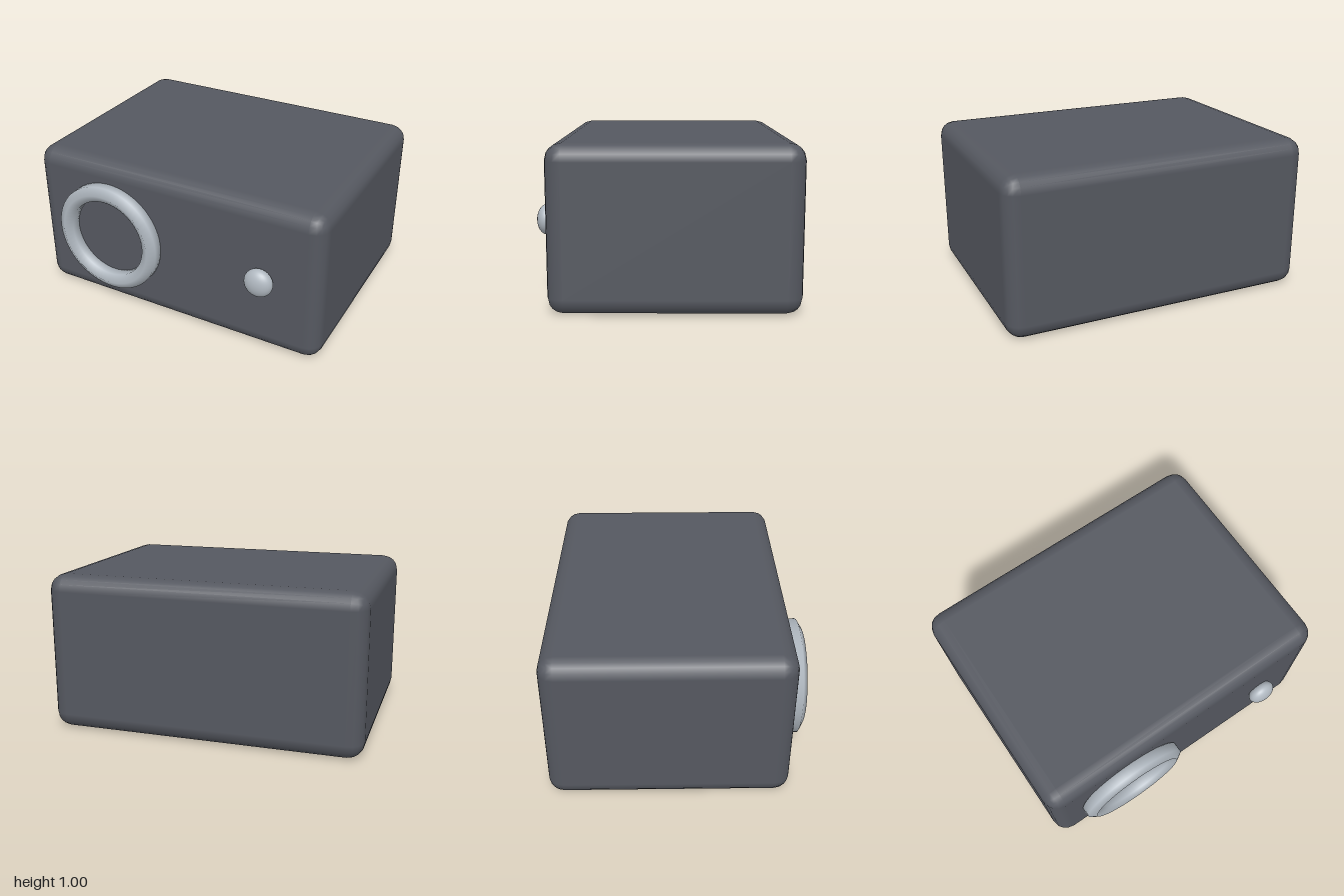
import * as THREE from 'three';
import { RoundedBoxGeometry } from 'three/addons/geometries/RoundedBoxGeometry.js';

const material = (name, color) => {
  const m = new THREE.MeshStandardMaterial({ color });
  m.name = name;
  return m;
};

export function createModel() {
  const darkGrey = material('dark grey casing', 0x555860);
  const silver = material('pale silver trim', 0xb0b8c0);
  const group = new THREE.Group();
  group.name = 'projector';

  const add = (name, geometry, mat, x, y, z) => {
    const mesh = new THREE.Mesh(geometry, mat);
    mesh.name = name;
    mesh.position.set(x, y, z);
    group.add(mesh);
    return mesh;
  };

  // Rounded casing
  add('casing', new RoundedBoxGeometry(2, 1, 1.495, 2, 0.1), darkGrey, 0, 0.5, -0.0475);

  // Lens ring: six-sided cross-section, swept in a circle, seam at the back
  const section = [];
  for (let i = 0; i <= 6; i++) {
    const a = -Math.PI / 2 + (i * Math.PI) / 3;
    section.push(new THREE.Vector2(0.315 + 0.058 * Math.cos(a), 0.06 * Math.sin(a)));
  }
  const ring = new THREE.LatheGeometry(section, 64);
  ring.rotateX(Math.PI / 2);
  add('lensRing', ring, silver, -0.44, 0.505, 0.735);

  // Flattened round button
  const button = new THREE.SphereGeometry(0.092, 32, 20);
  button.scale(1, 1, 0.63);
  add('button', button, silver, 0.62, 0.505, 0.735);

  return group;
}
